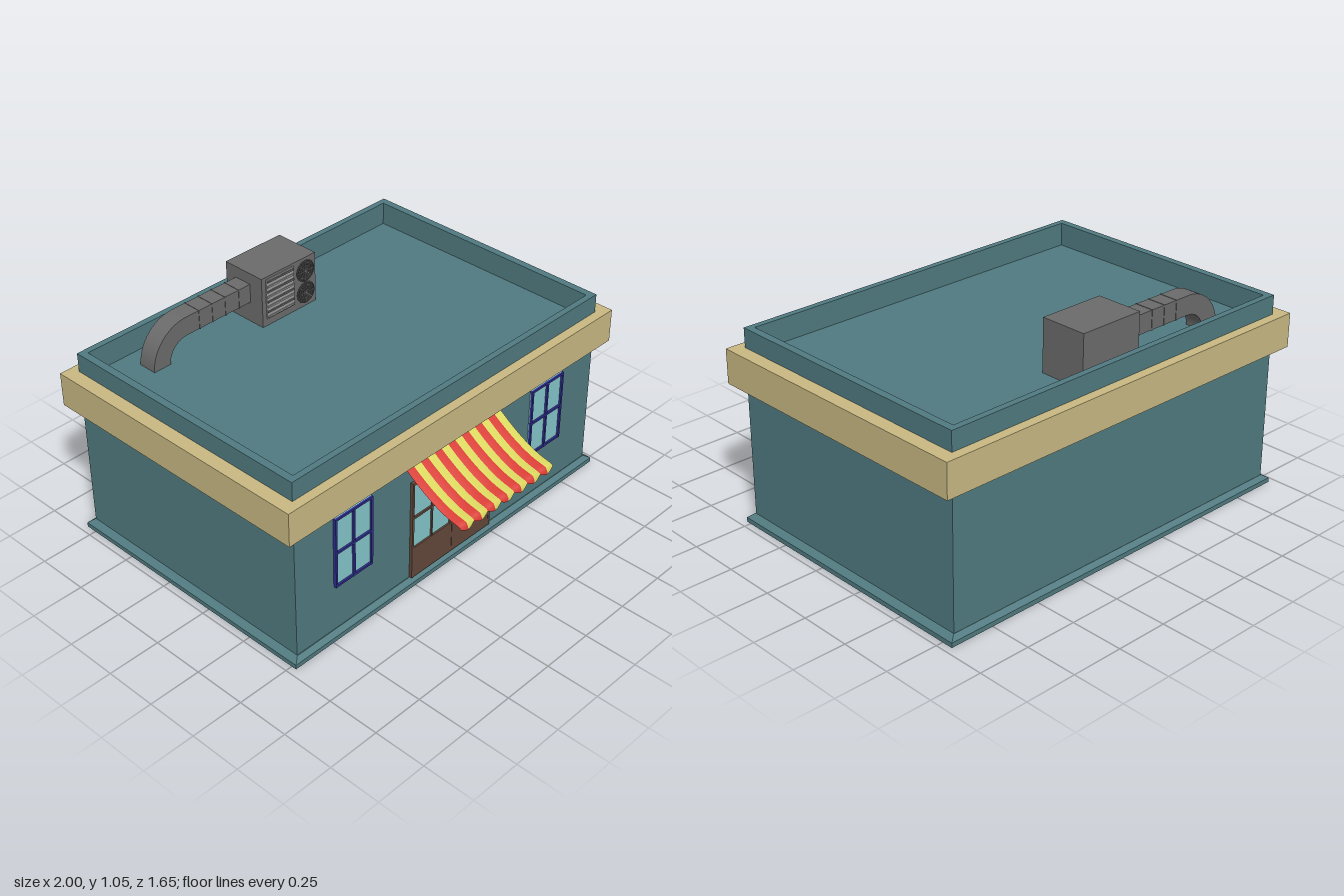
import * as THREE from 'three';

const mat = (color, side = THREE.FrontSide) => new THREE.MeshStandardMaterial({ color, side });
const teal = mat(0x507a80), tan = mat(0xc8b882), brown = mat(0x63483a), glass = mat(0x84c5ca);
const blue = mat(0x2e2e90), grey = mat(0x6b6b6b), light = mat(0x9c9c9c), dark = mat(0x333333);
const red = mat(0xd83c34, THREE.DoubleSide), yellow = mat(0xdcd860, THREE.DoubleSide);

function add(parent, name, geometry, material) {
  const mesh = new THREE.Mesh(geometry, material);
  mesh.name = name;
  parent.add(mesh);
  return mesh;
}

// Box given by its extents on each axis
function box(parent, name, material, x0, x1, y0, y1, z0, z1) {
  const geo = new THREE.BoxGeometry(x1 - x0, y1 - y0, z1 - z0);
  geo.translate((x0 + x1) / 2, (y0 + y1) / 2, (z0 + z1) / 2);
  return add(parent, name, geo, material);
}

function rectangle(target, hx, z0, z1) {
  return target.moveTo(-hx, -z1).lineTo(hx, -z1).lineTo(hx, -z0).lineTo(-hx, -z0).closePath();
}

// Rectangular ring lying flat between two heights
function ring(parent, name, material, outer, inner, y0, y1) {
  const shape = rectangle(new THREE.Shape(), ...outer);
  shape.holes.push(rectangle(new THREE.Path(), ...inner));
  const geo = new THREE.ExtrudeGeometry(shape, { depth: y1 - y0, bevelEnabled: false });
  geo.rotateX(-Math.PI / 2).translate(0, y0, 0);
  return add(parent, name, geo, material);
}

function makeShell() {
  const g = new THREE.Group();
  g.name = 'building';
  box(g, 'walls', teal, -0.935, 0.935, 0.02, 0.81, -0.78, 0.5);
  ring(g, 'parapet', teal, [0.935, -0.78, 0.5], [0.9, -0.75, 0.47], 0.81, 0.92);
  ring(g, 'corniceBand', tan, [1, -0.825, 0.545], [0.93, -0.775, 0.495], 0.67, 0.83);
  box(g, 'plinth', teal, -0.967, 0.967, 0, 0.022, -0.803, 0.525);
  // Sloped top of the plinth: a box with its upper corners pulled in
  const slope = new THREE.BoxGeometry(1.934, 0.018, 1.328);
  const p = slope.attributes.position;
  for (let i = 0; i < p.count; i++) {
    if (p.getY(i) > 0) {
      p.setX(i, Math.sign(p.getX(i)) * 0.937);
      p.setZ(i, Math.sign(p.getZ(i)) * 0.642);
    }
  }
  slope.computeVertexNormals();
  add(g, 'plinthSlope', slope, teal).position.set(0, 0.031, -0.139);
  return g;
}

function makeWindow(name, x) {
  const g = new THREE.Group();
  g.name = name;
  const w = 0.108, b = 0.01;
  box(g, 'pane', glass, -w, w, 0.27, 0.62, 0.49, 0.505);
  for (const s of [-w + b / 2, 0, w - b / 2])
    box(g, 'upright', blue, s - b / 2, s + b / 2, 0.27, 0.62, 0.49, 0.515);
  for (const y of [0.275, 0.445, 0.615])
    box(g, 'crossbar', blue, -w, w, y - b / 2, y + b / 2, 0.49, 0.514);
  g.position.x = x;
  return g;
}

function makeDoors() {
  const g = new THREE.Group();
  g.name = 'doubleDoor';
  for (const s of [-1, 1]) {
    const leaf = new THREE.Group();
    leaf.name = s < 0 ? 'rightDoor' : 'leftDoor';
    const span = (name, m, a, b, y0, y1, z) =>
      box(leaf, name, m, Math.min(s * a, s * b), Math.max(s * a, s * b), y0, y1, 0.49, z);
    span('doorGlass', glass, 0.002, 0.25, 0.2, 0.535, 0.506);
    span('kickPanel', brown, 0.001, 0.254, 0.04, 0.2, 0.514);
    span('innerStile', brown, 0.002, 0.013, 0.2, 0.545, 0.515);
    span('glazingBar', brown, 0.124, 0.132, 0.2, 0.545, 0.513);
    span('outerStile', brown, 0.244, 0.255, 0.04, 0.545, 0.515);
    span('middleRail', brown, 0.001, 0.254, 0.354, 0.364, 0.514);
    span('topRail', brown, 0.001, 0.254, 0.532, 0.545, 0.514);
    const knob = add(leaf, 'doorKnob', new THREE.SphereGeometry(0.006, 10, 8), dark);
    knob.position.set(s * 0.009, 0.328, 0.52);
    g.add(leaf);
  }
  g.position.x = -0.01;
  return g;
}

// Striped awning: each stripe is a strip of the sagging profile, gently rippled
function makeAwning() {
  const g = new THREE.Group();
  g.name = 'awning';
  const curve = new THREE.CatmullRomCurve3([
    [0.66, 0.505], [0.61, 0.575], [0.565, 0.65], [0.53, 0.73], [0.512, 0.805],
  ].map(([y, z]) => new THREE.Vector3(0, y, z)));
  const stripes = 14, x0 = -0.315, width = 0.59 / stripes, cols = 8, rows = 17;
  for (let s = 0; s < stripes; s++) {
    const pos = [], idx = [];
    for (let c = 0; c <= cols; c++) {
      const x = x0 + (s + c / cols) * width;
      const wave = Math.abs(Math.sin(((s + c / cols) * Math.PI) / 2));
      for (let r = 0; r < rows; r++) {
        const t = r / (rows - 3);
        if (t <= 1) {
          const q = curve.getPoint(t);
          pos.push(x, q.y + 0.004 * wave * t, q.z + 0.006 * wave * t);
        } else {
          // Scalloped valance hanging from the front edge
          const d = (r - rows + 3) / 2;
          pos.push(x, 0.512 - d * (0.01 + 0.016 * wave), 0.812 + 0.004 * d + 0.006 * wave);
        }
        if (c < cols && r < rows - 1) {
          const a = c * rows + r, b = a + rows;
          idx.push(a, a + 1, b, b, a + 1, b + 1);
        }
      }
    }
    const geo = new THREE.BufferGeometry();
    geo.setAttribute('position', new THREE.Float32BufferAttribute(pos, 3));
    geo.setIndex(idx);
    geo.computeVertexNormals();
    add(g, 'awningStripe', geo, s % 2 ? yellow : red);
  }
  return g;
}

function makeRoofUnit() {
  const g = new THREE.Group();
  g.name = 'airConditioner';
  box(g, 'unitCase', grey, -0.145, 0.18, 0.81, 1.055, -0.715, -0.49);
  // Slatted grille
  box(g, 'grilleBack', light, -0.122, 0.045, 0.845, 1.042, -0.495, -0.485);
  for (let i = 0; i < 8; i++) {
    const y = 0.852 + i * 0.025;
    box(g, 'grilleSlat', i % 2 ? grey : light, -0.118, 0.041, y, y + 0.008, -0.487, -0.48);
  }
  // Two fans behind wire guards
  for (const y of [0.988, 0.878]) {
    const fan = new THREE.Group();
    fan.name = 'fan';
    add(fan, 'fanDisc', new THREE.CylinderGeometry(0.052, 0.052, 0.003, 28), dark).rotation.x = Math.PI / 2;
    for (const r of [0.012, 0.025, 0.038, 0.051])
      add(fan, 'guardRing', new THREE.TorusGeometry(r, 0.0018, 5, 28), grey).position.z = 0.002;
    for (let i = 0; i < 4; i++) {
      const bar = add(fan, 'guardBar', new THREE.BoxGeometry(0.1, 0.003, 0.003), grey);
      bar.position.z = 0.002;
      bar.rotation.z = (i * Math.PI) / 4;
    }
    fan.position.set(0.117, y, -0.489);
    g.add(fan);
  }
  // Duct with an elbow turning down to the roof
  const duct = new THREE.Shape();
  duct.moveTo(-0.14, 0.91).lineTo(-0.14, 1).lineTo(-0.515, 1);
  duct.absarc(-0.515, 0.81, 0.19, Math.PI / 2, Math.PI, false);
  duct.lineTo(-0.615, 0.81);
  duct.absarc(-0.515, 0.81, 0.1, Math.PI, Math.PI / 2, true);
  duct.closePath();
  const geo = new THREE.ExtrudeGeometry(duct, { depth: 0.09, bevelEnabled: false, curveSegments: 12 });
  add(g, 'duct', geo, grey).position.z = -0.655;
  for (const x of [-0.21, -0.29, -0.365, -0.44])
    box(g, 'ductSeam', grey, x - 0.003, x + 0.003, 0.908, 1.002, -0.657, -0.563);
  return g;
}

export function createModel() {
  const model = new THREE.Group();
  model.name = 'shop';
  model.add(makeShell(), makeDoors(), makeAwning(), makeRoofUnit());
  model.add(makeWindow('rightWindow', -0.612), makeWindow('leftWindow', 0.612));
  return model;
}
